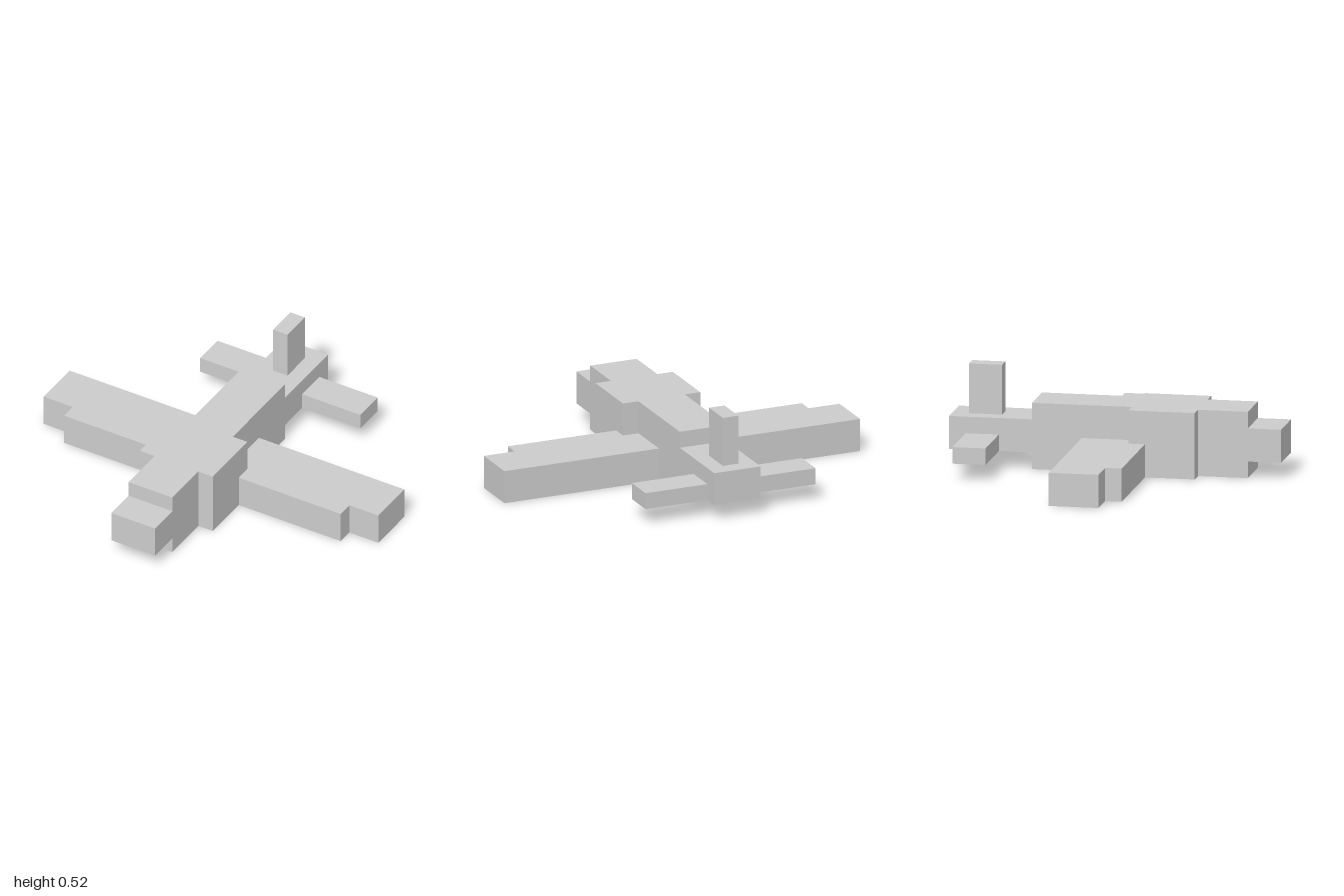
import * as THREE from 'three';

// All parts sit on a block grid: 23 blocks span 2 units
const U = 2 / 23;

export function createModel() {
  const model = new THREE.Group();
  model.name = 'blockAirplane';
  const material = new THREE.MeshStandardMaterial({ color: 0xcccccc, flatShading: true });

  // Box between two limits on each axis, in blocks
  function block(name, [x0, x1], [y0, y1], [z0, z1], parent = model) {
    const geometry = new THREE.BoxGeometry((x1 - x0) * U, (y1 - y0) * U, (z1 - z0) * U);
    const mesh = new THREE.Mesh(geometry, material);
    mesh.position.set((x0 + x1) / 2 * U, (y0 + y1) / 2 * U, (z0 + z1) / 2 * U);
    mesh.name = name;
    parent.add(mesh);
  }

  // Fuselage with narrower nose and tail boom
  block('fuselage', [-1.5, 1.5], [0, 4], [-5, 8]);
  block('nose', [-1.5, 1.5], [1, 3], [8, 10]);
  block('tailBoom', [-1.5, 1.5], [1, 3], [-10, -5]);

  // Upright tail fin
  block('tailFin', [-0.5, 0.5], [3, 6], [-9, -7]);

  // Paired parts: side fairings, stepped wings, tailplanes
  for (const [side, s] of [['left', 1], ['right', -1]]) {
    const span = (a, b) => (s > 0 ? [a, b] : [-b, -a]);
    block(side + 'Fairing', span(1.5, 2.5), [0, 4], [1, 5]);

    const wing = new THREE.Group();
    wing.name = side + 'Wing';
    block(side + 'WingMain', span(1.5, 11.5), [0, 2], [-2, 1], wing);
    block(side + 'WingLeadingEdge', span(2.5, 9.5), [0, 2], [1, 2], wing);
    model.add(wing);

    block(side + 'Tailplane', span(1.5, 5.5), [1, 2], [-9, -7]);
  }

  return model;
}
